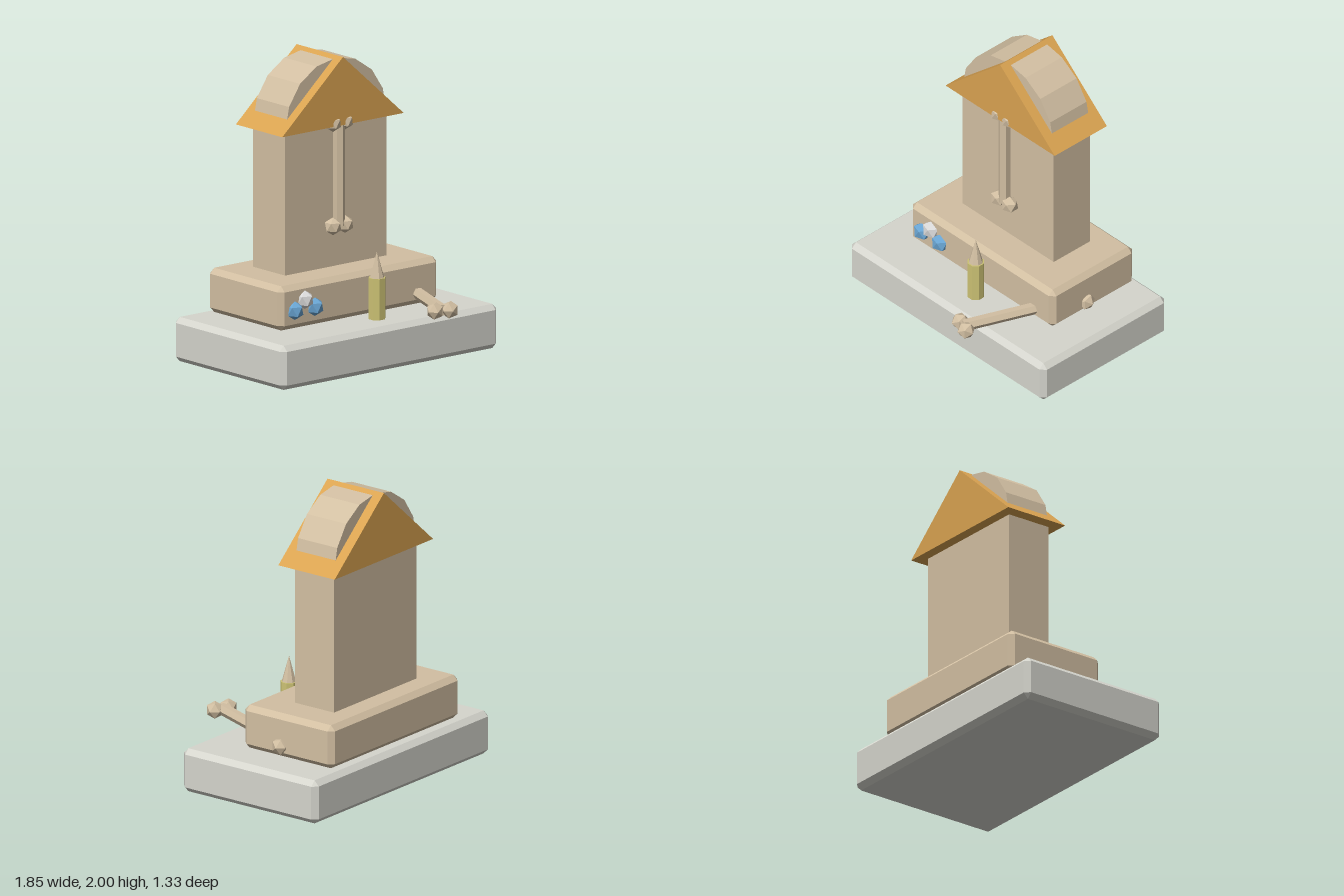
import * as THREE from 'three';
import { ConvexGeometry } from 'three/addons/geometries/ConvexGeometry.js';

function makeMaterial(name, color) {
  const m = new THREE.MeshStandardMaterial({ color, flatShading: true });
  m.name = name;
  return m;
}

// box with chamfered edges and corners
function chamferedBox(w, h, d, c) {
  const points = [];
  for (const sx of [-1, 1]) for (const sy of [-1, 1]) for (const sz of [-1, 1]) {
    const x = w / 2, y = h / 2, z = d / 2;
    points.push(
      new THREE.Vector3(sx * x, sy * (y - c), sz * (z - c)),
      new THREE.Vector3(sx * (x - c), sy * y, sz * (z - c)),
      new THREE.Vector3(sx * (x - c), sy * (y - c), sz * z));
  }
  return new ConvexGeometry(points);
}

// icosahedron standing on one of its corners
function ball(r) {
  return new THREE.IcosahedronGeometry(r, 0).rotateZ(-Math.atan(2 / (1 + Math.sqrt(5))));
}

export function createModel() {
  const root = new THREE.Group();
  const stone = makeMaterial('grey stone', 0xd5d5cd);
  const sand = makeMaterial('sand', 0xd2bfa2);
  const orange = makeMaterial('orange roof', 0xdaa351);
  const blue = makeMaterial('blue', 0x6aa6d4);
  const white = makeMaterial('white', 0xd9d9d9);
  const olive = makeMaterial('olive', 0xccc274);

  function add(name, geometry, material, x, y, z, parent = root) {
    const mesh = new THREE.Mesh(geometry, material);
    mesh.name = name;
    mesh.position.set(x, y, z);
    parent.add(mesh);
    return mesh;
  }

  // stepped base
  add('base', chamferedBox(1.845, 0.295, 1.11, 0.035), stone, 0, 0.1475, -0.105);
  add('plinth', chamferedBox(1.355, 0.295, 0.74, 0.035), sand, 0, 0.4475, -0.233);

  // upright slab with a rounded top
  add('slab', new THREE.BoxGeometry(0.865, 0.96, 0.323), sand, 0, 1.072, -0.267);
  const top = new THREE.CylinderGeometry(0.432, 0.432, 0.323, 8, 1, false, Math.PI / 2, Math.PI);
  add('roundedTop', top.rotateX(Math.PI / 2), sand, 0, 1.55, -0.267);

  // gable roof
  const gable = new THREE.Shape([
    new THREE.Vector2(-0.517, 0), new THREE.Vector2(0.517, 0), new THREE.Vector2(0, 0.455)]);
  add('roof', new THREE.ExtrudeGeometry(gable, { depth: 0.465, bevelEnabled: false }),
    orange, 0, 1.545, -0.5);

  // bones: six-sided shaft with two knobs at each end
  function bone(name, length, twist) {
    const group = new THREE.Group();
    group.name = name;
    add('shaft', new THREE.CylinderGeometry(0.04, 0.04, length, 6).rotateY(twist), sand, 0, 0, 0, group);
    for (const sx of [-1, 1]) for (const sy of [-1, 1]) {
      add('knob', ball(0.06), sand, sx * 0.051, sy * length / 2, 0, group);
    }
    root.add(group);
    return group;
  }
  bone('hangingBone', 0.69, 0).position.set(0, 1.215, -0.075);
  const lying = bone('lyingBone', 0.84, Math.PI / 6);
  lying.position.set(0.468, 0.375, 0.2);
  lying.rotation.set(-Math.PI / 2, -0.373, 0, 'YXZ');

  // cluster of balls on the front of the plinth
  add('leftBall', ball(0.066), blue, -0.385, 0.425, 0.13);
  add('rightBall', ball(0.066), blue, -0.555, 0.425, 0.13);
  add('upperBall', ball(0.066), white, -0.47, 0.485, 0.13);

  // candle
  const turn = Math.PI / 8;
  add('candle', new THREE.CylinderGeometry(0.057, 0.057, 0.275, 8).rotateY(turn), olive, 0.058, 0.4325, 0.237);
  add('candleTip', new THREE.ConeGeometry(0.048, 0.175, 8).rotateY(turn), sand, 0.058, 0.6575, 0.237);

  return root;
}
